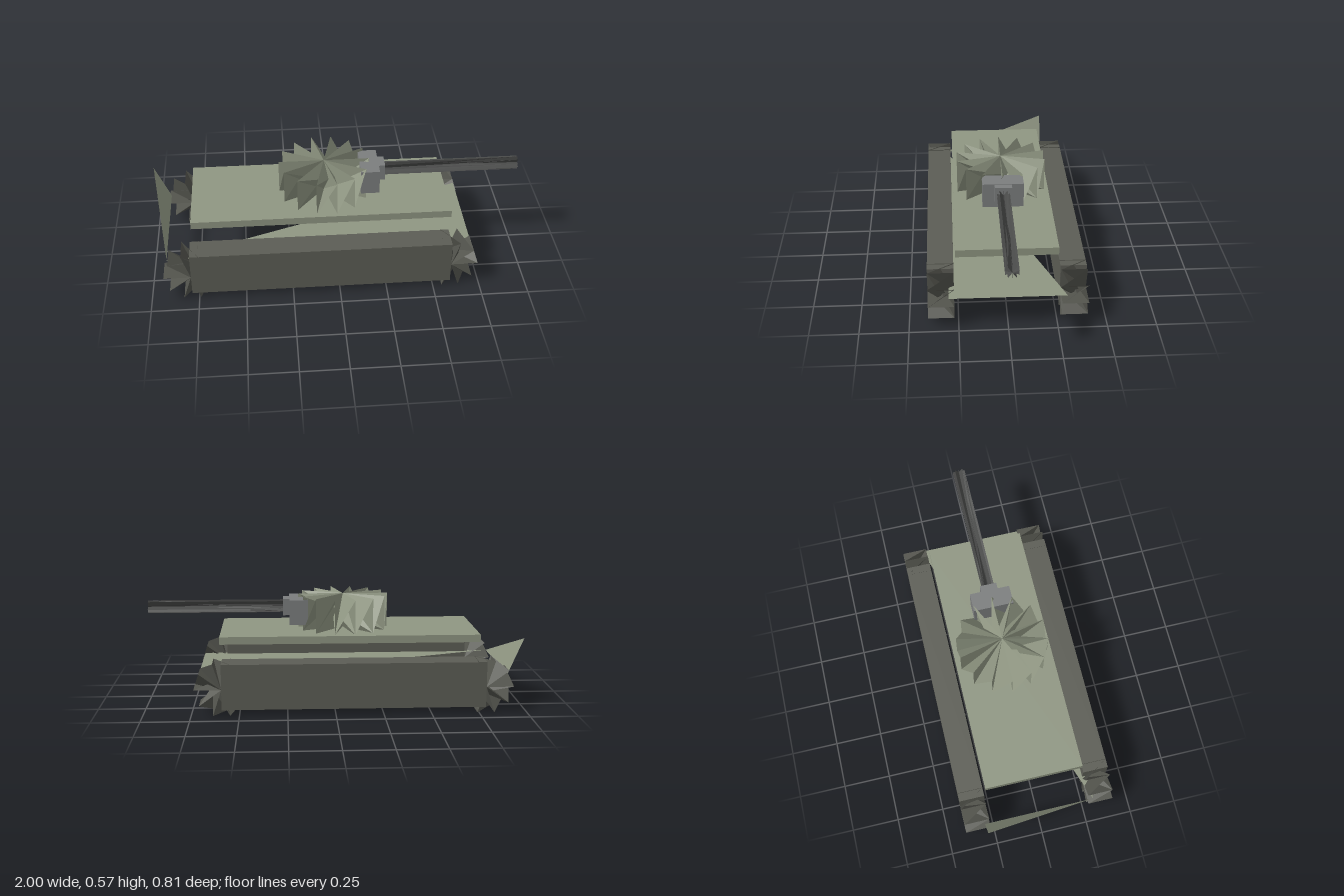
import * as THREE from 'three';

const material = (color) =>
  new THREE.MeshStandardMaterial({ color, flatShading: true, side: THREE.DoubleSide });

const green = material(0x8f9682);
const trackGrey = material(0x5c5d55);
const wheelGrey = material(0x53544d);
const steel = material(0x7c7e7e);
const gunGrey = material(0x4a4b4a);

function box(name, [x0, x1], [y0, y1], [z0, z1], mat) {
  const mesh = new THREE.Mesh(new THREE.BoxGeometry(x1 - x0, y1 - y0, z1 - z0), mat);
  mesh.position.set((x0 + x1) / 2, (y0 + y1) / 2, (z0 + z1) / 2);
  mesh.name = name;
  return mesh;
}

// Surface from corner points and triangle indices
function surface(name, points, index, mat) {
  const geometry = new THREE.BufferGeometry();
  geometry.setAttribute('position', new THREE.Float32BufferAttribute(points.flat(), 3));
  geometry.setIndex(index);
  const flat = geometry.toNonIndexed();
  flat.computeVertexNormals();
  const mesh = new THREE.Mesh(flat, mat);
  mesh.name = name;
  return mesh;
}

// Drum of radial blades: rim points alternate between the two ends, half of
// them fan to the near hub and half to the far hub, with webs across the middle.
// place(c, s, end) puts a rim point; end is 0 or 1.
function bladedDrum(name, n, place, mat) {
  const points = [];
  for (let i = 0; i < n; i++) {
    const a = (i / n) * Math.PI * 2;
    for (const end of [0, 1]) points.push(place(Math.cos(a), Math.sin(a), end));
  }
  points.push(place(0, 0, 0), place(0, 0, 1));
  const index = [];
  for (let i = 0; i < n; i++) {
    const j = (i + 1) % n;
    index.push(i, j, j + n, i, j + n, i + n); // webs
    index.push(2 * n, j, i); // near hub fan
    index.push(2 * n + 1, i + n, j + n); // far hub fan
  }
  return surface(name, points, index, mat);
}

export function createModel() {
  const model = new THREE.Group();

  // Tracks with a bladed wheel at each end
  const rear = -0.786, front = 0.592;
  for (const [side, z0, z1] of [['left', 0.27, 0.404], ['right', -0.404, -0.27]]) {
    const track = new THREE.Group();
    track.name = side + 'Track';
    track.add(box('trackBody', [rear, front], [0.03, 0.27], [z0, z1], trackGrey));
    for (const [name, x] of [['rearWheel', rear], ['frontWheel', front]]) {
      track.add(bladedDrum(name, 10,
        (c, s, end) => [x + 0.144 * c, 0.137 + 0.144 * s, end ? z1 : z0], wheelGrey));
    }
    model.add(track);
  }

  // Hull: half floor panel and slanted rear panel
  const w = 0.297;
  model.add(surface('hullFloor',
    [[0.72, 0.175, -w], [-0.915, 0.175, w], [0.72, 0.175, w]], [0, 1, 2], green));
  model.add(surface('rearPanel',
    [[-1, 0.372, -w], [-0.915, 0.175, -w], [-0.915, 0.175, w]], [0, 1, 2], green));

  // Deck and turret
  model.add(box('deck', [-0.775, 0.605], [0.345, 0.385], [-0.26, 0.26], green));
  model.add(bladedDrum('turret', 14,
    (c, s, end) => [-0.057 + 0.243 * c, end ? 0.57 : 0.385, 0.243 * s], green));

  // Gun mount and barrel
  model.add(box('mantlet', [0.135, 0.235], [0.417, 0.551], [-0.108, 0.108], steel));
  model.add(box('barrelCollar', [0.2, 0.27], [0.458, 0.548], [-0.045, 0.045], steel));
  model.add(bladedDrum('barrel', 10,
    (c, s, end) => [end ? 1 : 0.25, 0.503 + 0.0355 * c, 0.0355 * s], gunGrey));

  return model;
}
